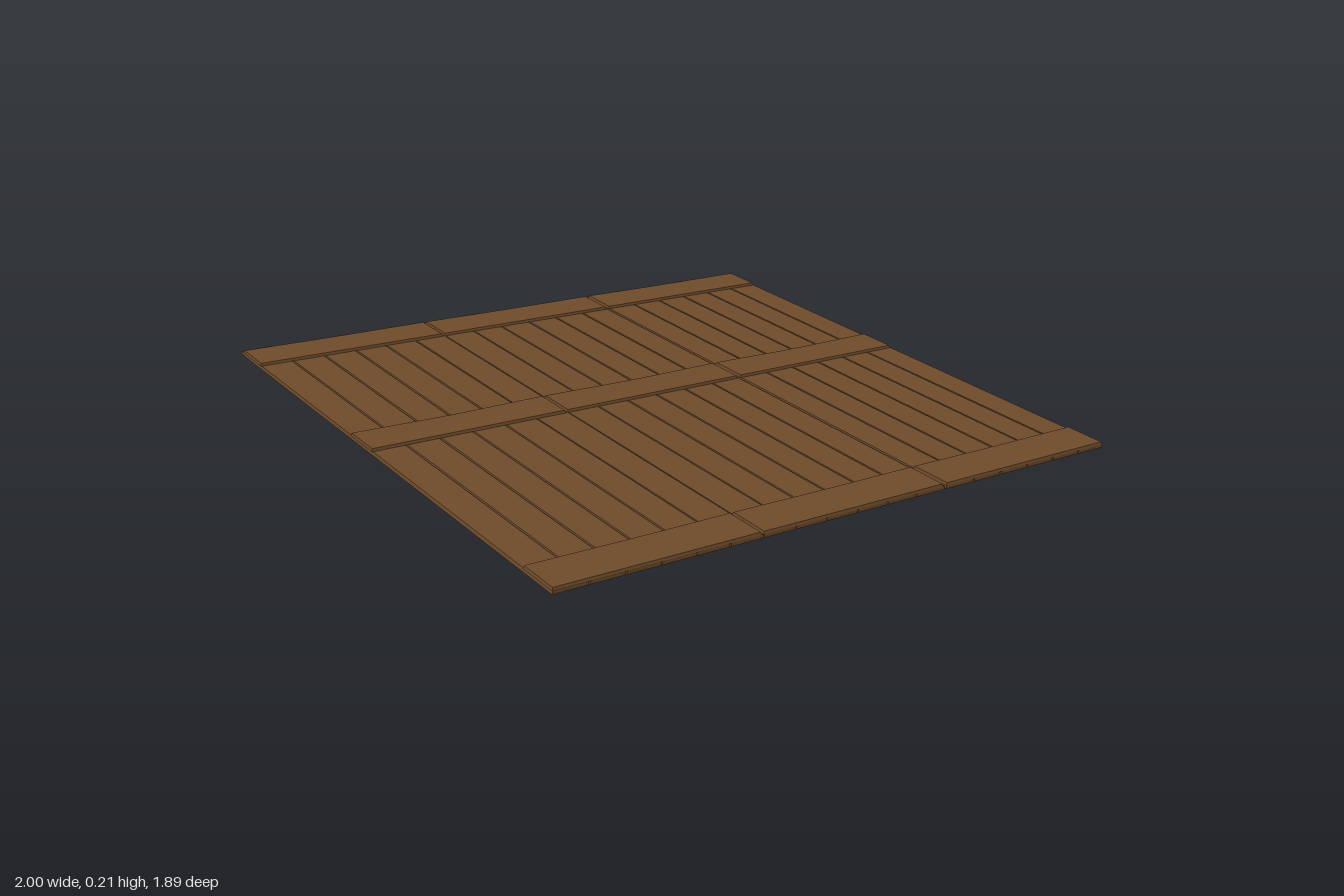
import * as THREE from 'three';

const wood = new THREE.MeshStandardMaterial({ color: 0x6f4b2b, flatShading: true });
const PITCH = 0.1108, PLANK_T = 0.011, BATTEN_T = 0.009, SLOPE = 0.1045;

// small seeded generator, returns -1..1
function seeded(seed) {
  let s = seed;
  return () => {
    s = (s * 16807) % 2147483647;
    return (s / 2147483647) * 2 - 1;
  };
}

// board resting on y = base, its vertices moved by a rule
function board(name, w, t, l, segX, segZ, x, base, z, rule) {
  const geo = new THREE.BoxGeometry(w, t, l, segX, 1, segZ);
  const p = geo.attributes.position;
  const v = new THREE.Vector3();
  for (let i = 0; i < p.count; i++) {
    v.fromBufferAttribute(p, i);
    rule(v, v.y > 0);
    p.setXYZ(i, v.x, v.y, v.z);
  }
  geo.computeVertexNormals();
  const mesh = new THREE.Mesh(geo, wood);
  mesh.name = name;
  mesh.position.set(x, base + t / 2, z);
  return mesh;
}

export function createModel() {
  const model = new THREE.Group();
  model.name = 'plankRoof';
  const rnd = seeded(4127);

  const deck = new THREE.Group();
  deck.name = 'slopedDeck';
  deck.rotation.x = SLOPE;
  model.add(deck);

  // eighteen long planks with chamfered top edges and uneven back ends
  const frontZ = 0.944;
  for (let i = 0; i < 18; i++) {
    const backZ = -0.942 + 0.006 * rnd();
    const length = frontZ - backZ;
    const wobble = [0, 1, 2, 3, 4].map(() => 0.0012 * (1 + rnd()));
    const skew = 0.004 * rnd();
    const wide = i === 5 || i === 6 ? 0.0005 : 0.002;
    const x = -1 + PITCH * (i + 0.5) + (i > 11 ? 0.004 : 0);
    deck.add(board('plank', PITCH - 0.001, PLANK_T, length, 1, 4,
      x, 0, (frontZ + backZ) / 2, (v, top) => {
        const k = Math.round((v.z / length + 0.5) * 4);
        v.x -= Math.sign(v.x) * (wobble[k] * 0.6 + (top ? wide : 0));
        if (k === 0) v.z += Math.sign(v.x) * skew;
      }));
  }

  // three rows of cross battens, each in three lengths
  const rows = [
    { name: 'frontBatten', z0: 0.808, z1: 0.946, sag: 0.002 },
    { name: 'middleBatten', z0: -0.15, z1: -0.018, sag: 0.007 },
    { name: 'backBatten', z0: -0.925, z1: -0.79, sag: 0.003 },
  ];
  const spans = [[-1, -0.344], [-0.338, 0.321], [0.332, 0.993]];
  for (const row of rows) {
    for (const [x0, x1] of spans) {
      const w = x1 - x0, l = row.z1 - row.z0;
      const lean = 0.003 * rnd();
      deck.add(board(row.name, w, BATTEN_T, l, 8, 1,
        (x0 + x1) / 2, PLANK_T, (row.z0 + row.z1) / 2, (v, top) => {
          const u = v.x / w;
          if (v.z < 0) v.z += row.sag * Math.cos(u * Math.PI * 2) * 0.5 + (top ? 0.003 : 0);
          else if (top) v.z -= 0.002;
          if (u > 0.49) v.x += top ? -0.004 : lean * 0.3;
          if (u < -0.49 && top) v.x += 0.002;
        }));
    }
  }

  // rest the low edge on the ground and centre the deck
  model.updateMatrixWorld(true);
  const box = new THREE.Box3().setFromObject(model, true);
  const mid = box.getCenter(new THREE.Vector3());
  deck.position.set(-mid.x, -box.min.y, -mid.z);
  return model;
}
